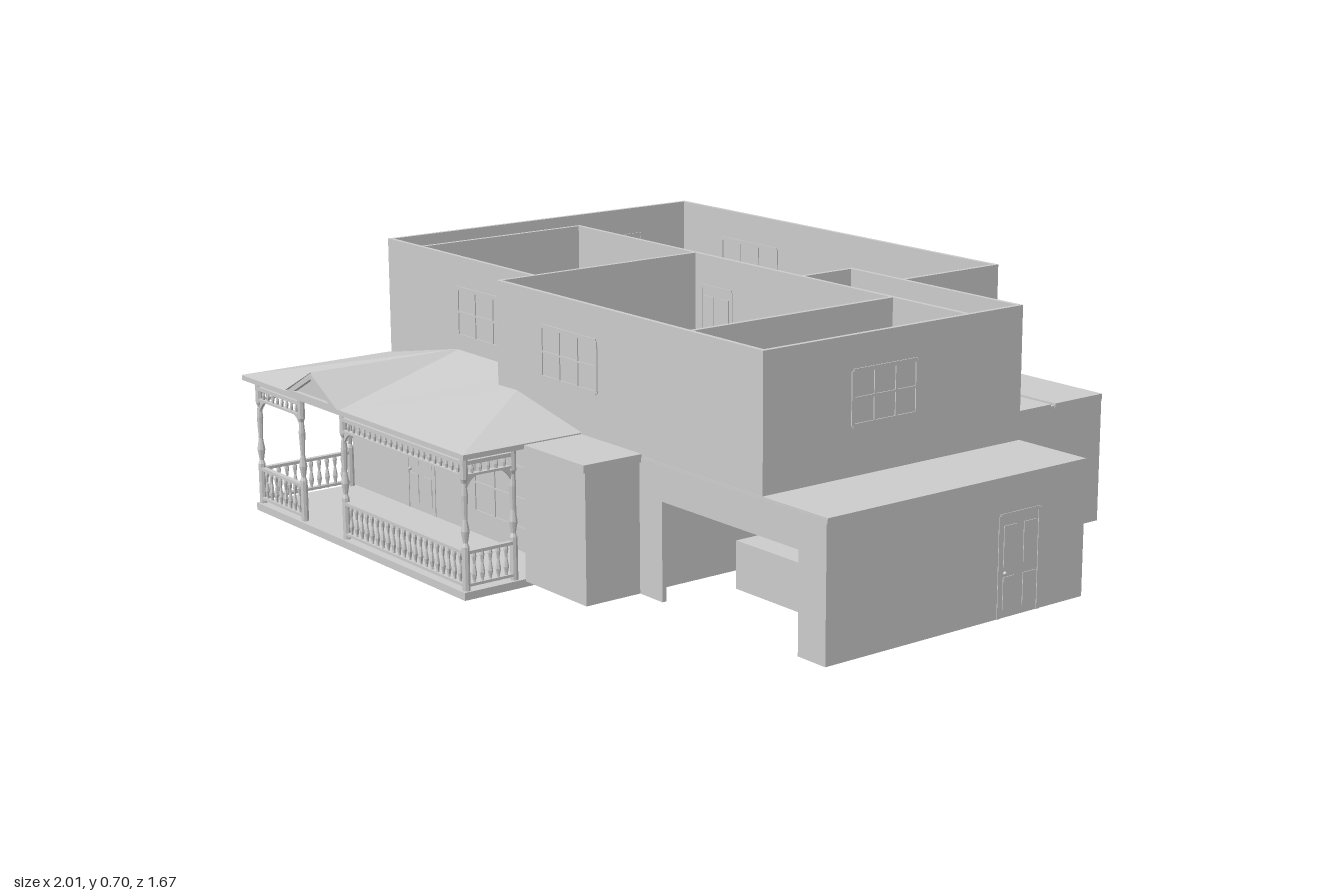
import * as THREE from 'three';

const mat = new THREE.MeshStandardMaterial({ color: 0xcccccc, flatShading: true, side: THREE.DoubleSide });
const T = 0.012; // wall thickness

function add(parent, name, geometry) {
  const m = new THREE.Mesh(geometry, mat);
  m.name = name;
  parent.add(m);
  return m;
}

// Box given by its two corners
function box(parent, name, x0, x1, y0, y1, z0, z1) {
  const m = add(parent, name, new THREE.BoxGeometry(x1 - x0, y1 - y0, z1 - z0));
  m.position.set((x0 + x1) / 2, (y0 + y1) / 2, (z0 + z1) / 2);
  return m;
}

// Walls along the x or z axis; each row is x0, z0, x1, z1 on the centre line
function walls(parent, name, y0, y1, rows) {
  for (const [x0, z0, x1, z1] of rows) {
    box(parent, name, Math.min(x0, x1) - T / 2, Math.max(x0, x1) + T / 2, y0, y1,
      Math.min(z0, z1) - T / 2, Math.max(z0, z1) + T / 2);
  }
}

// Group whose local x runs along a wall and whose origin is on the wall
function onWall(parent, name, x, y, z, turned) {
  const g = new THREE.Group();
  g.name = name;
  g.position.set(x, y, z);
  if (turned) g.rotation.y = Math.PI / 2;
  parent.add(g);
  return g;
}

// Framed window with panes, visible on both faces of the wall
function windowUnit(parent, x, y, z, w, h, turned = false) {
  const g = onWall(parent, 'window', x, y, z, turned), b = 0.005, d = 0.009;
  for (const s of [-1, 1]) {
    box(g, 'windowJamb', s * w / 2 - b, s * w / 2 + b, -h / 2, h / 2, -d, d);
    box(g, 'windowRail', -w / 2, w / 2, s * h / 2 - b, s * h / 2 + b, -d, d);
    box(g, 'windowMullion', s * w / 6 - b / 2, s * w / 6 + b / 2, -h / 2, h / 2, -d, d);
  }
  box(g, 'windowCrossbar', -w / 2, w / 2, -b / 2, b / 2, -d, d);
}

// Panelled door, y is its foot
function door(parent, x, y, z, turned = false, w = 0.13, h = 0.25) {
  const g = onWall(parent, 'door', x, y, z, turned), d = 0.008;
  for (const s of [-1, 1]) {
    box(g, 'doorJamb', s * w / 2 - 0.005, s * w / 2 + 0.005, 0, h, -d, d);
    box(g, 'doorPanel', s * w / 4 - 0.02, s * w / 4 + 0.02, 0.02, 0.1, -d, d);
    box(g, 'doorPanel', s * w / 4 - 0.02, s * w / 4 + 0.02, 0.125, 0.225, -d, d);
  }
  box(g, 'doorHead', -w / 2, w / 2, h - 0.005, h + 0.005, -d, d);
  add(g, 'doorKnob', new THREE.SphereGeometry(0.005, 8, 6)).position.set(-w / 2 + 0.015, 0.11, 0.01);
}

// Flat-shaded surface from polygons split into fans
function faces(parent, name, polys) {
  const p = [];
  for (const q of polys) for (let i = 1; i < q.length - 1; i++) p.push(...q[0], ...q[i], ...q[i + 1]);
  const g = new THREE.BufferGeometry();
  g.setAttribute('position', new THREE.Float32BufferAttribute(p, 3));
  g.computeVertexNormals();
  return add(parent, name, g);
}

// Turned spindle from radius/height pairs
const turned = (pts, n = 8) => new THREE.LatheGeometry(pts.map(([r, y]) => new THREE.Vector2(r, y)), n);
const spindle = turned([[0.004, 0], [0.004, 0.015], [0.007, 0.03], [0.003, 0.055], [0.006, 0.075], [0.004, 0.09]], 6);
const bead = turned([[0.003, 0], [0.005, 0.012], [0.003, 0.024]], 6);
const post = turned([[0.01, 0], [0.01, 0.11], [0.006, 0.12], [0.011, 0.15], [0.006, 0.18],
  [0.009, 0.24], [0.006, 0.27], [0.01, 0.28], [0.01, 0.34]]);

// Balustrade and upper frieze between two porch posts
function railing(parent, x0, z0, x1, z1) {
  const len = Math.hypot(x1 - x0, z1 - z0);
  const g = onWall(parent, 'railing', (x0 + x1) / 2, 0.02, (z0 + z1) / 2, x0 === x1);
  for (const [y0, y1] of [[0.01, 0.017], [0.092, 0.1], [0.286, 0.292], [0.315, 0.325]]) {
    box(g, 'handrail', -len / 2, len / 2, y0, y1, -0.007, 0.007);
  }
  const n = Math.round(len / 0.025);
  for (let i = 1; i < n; i++) {
    const x = -len / 2 + len * i / n;
    add(g, 'baluster', spindle).position.set(x, 0.008, 0);
    add(g, 'friezeSpindle', bead).position.set(x, 0.291, 0);
  }
  // Curved brackets where the frieze meets the posts
  for (const s of [-1, 1]) {
    const sh = new THREE.Shape().moveTo(0, 0).lineTo(0, -0.05).quadraticCurveTo(0.008, -0.008, 0.04, 0);
    const b = add(g, 'bracket', new THREE.ExtrudeGeometry(sh, { depth: 0.006, bevelEnabled: false }));
    b.position.set(s * len / 2, 0.286, -0.003);
    b.scale.x = -s;
  }
}

function floors(house) {
  // Storey slab with an opening over the stairs; shape y is -z
  const outline = [[-0.97, -0.66], [0.36, -0.66], [0.36, -0.33], [1, -0.33], [1, 0.485], [-0.28, 0.485], [-0.28, 0.38], [-0.97, 0.38]];
  const v = (a) => a.map(([x, z]) => new THREE.Vector2(x, -z));
  const slab = new THREE.Shape(v(outline));
  slab.holes.push(new THREE.Path(v([[-0.96, -0.12], [-0.815, -0.12], [-0.815, 0.14], [-0.96, 0.14]])));
  const m = add(house, 'upperFloor', new THREE.ExtrudeGeometry(slab, { depth: 0.012, bevelEnabled: false }));
  m.rotation.x = -Math.PI / 2;
  m.position.y = 0.352;
  box(house, 'extensionRoof', -0.28, 0.575, 0.352, 0.366, -0.84, -0.665);
  box(house, 'extensionRoof', 0.36, 0.575, 0.352, 0.366, -0.65, -0.33);
  box(house, 'entryRoof', 0.05, 0.325, 0.35, 0.37, 0.48, 0.655);
  for (let i = 0; i < 9; i++) { // stairs
    const z = 0.14 - i * 0.029, y = 0.02 + (i + 1) * 0.036;
    box(house, 'stairTread', -0.96, -0.815, y - 0.008, y, z - 0.032, z);
    box(house, 'stairRiser', -0.96, -0.815, y - 0.036, y, z - 0.004, z);
  }
  box(house, 'newelPost', -0.825, -0.81, 0.36, 0.5, -0.185, -0.17);
}

function porch(house) {
  const g = new THREE.Group();
  g.name = 'porch';
  house.add(g);
  box(g, 'porchFloor', -0.975, 0.05, 0, 0.02, 0.51, 0.815);
  for (const [x, z] of [[-0.965, 0.8], [-0.74, 0.8], [-0.525, 0.8], [0.035, 0.8], [-0.965, 0.525], [0.035, 0.66]]) {
    add(g, 'porchPost', post).position.set(x, 0.02, z);
  }
  railing(g, -0.965, 0.8, -0.74, 0.8);
  railing(g, -0.525, 0.8, 0.035, 0.8);
  railing(g, -0.965, 0.525, -0.965, 0.8);
  railing(g, 0.035, 0.66, 0.035, 0.8);
  // Eave boards
  box(g, 'frontEave', -1, 0.08, 0.36, 0.373, 0.79, 0.83);
  box(g, 'leftEave', -1, -0.955, 0.36, 0.373, 0.375, 0.83);
  box(g, 'rightEave', 0.03, 0.08, 0.36, 0.373, 0.485, 0.83);
  // Hipped roof with a small gable over the steps
  const e = 0.374, A = [-0.63, 0.447, 0.37], K = [-0.63, 0.447, 0.83];
  const L = [-0.77, e, 0.83], R = [-0.49, e, 0.83], C = [0.08, e, 0.83], P = [-0.2, 0.43, 0.48];
  faces(g, 'porchRoof', [
    [[-1, e, 0.37], [-1, e, 0.83], A],
    [[-1, e, 0.83], L, A],
    [L, K, A], [K, R, A],
    [R, C, P, [-0.28, 0.445, 0.37], A],
    [C, [0.08, e, 0.48], P],
    [P, [-0.28, 0.43, 0.48], [-0.28, 0.445, 0.37]],
  ]);
  // Gable face and its raking boards
  const tri = (w, h, y) => [[-0.63 - w, y], [-0.63 + w, y], [-0.63, y + h]].map(([a, b]) => new THREE.Vector2(a, b));
  const rake = new THREE.Shape(tri(0.13, 0.072, 0.373));
  rake.holes.push(new THREE.Path(tri(0.09, 0.048, 0.381)));
  add(g, 'gableTrim', new THREE.ExtrudeGeometry(rake, { depth: 0.012, bevelEnabled: false })).position.z = 0.82;
  faces(g, 'gableFace', [[[-0.76, e, 0.815], [-0.5, e, 0.815], [-0.63, 0.44, 0.815]]]);
}

function bayWindow(house) {
  const g = new THREE.Group();
  g.name = 'bayWindow';
  house.add(g);
  // Plan of the bay: half widths at the wall and at its face, and face depth
  const ring = (a, b, z, y) => [[-a, y, -0.655], [-b, y, z], [b, y, z], [a, y, -0.655]].map((p) => [p[0] + 0.01, p[1], p[2]]);
  const loft = (name, ...rings) => {
    const f = [rings[0], rings[rings.length - 1]];
    for (let k = 0; k + 1 < rings.length; k++) for (let i = 0; i < 3; i++) {
      f.push([rings[k][i], rings[k][i + 1], rings[k + 1][i + 1], rings[k + 1][i]]);
    }
    faces(g, name, f);
  };
  loft('bayBody', ring(0.15, 0.085, -0.745, 0.43), ring(0.15, 0.085, -0.745, 0.58));
  loft('baySill', ring(0.165, 0.095, -0.755, 0.42), ring(0.165, 0.095, -0.755, 0.436));
  loft('bayRoof', ring(0.19, 0.105, -0.768, 0.575), ring(0.19, 0.105, -0.768, 0.588), ring(0.11, 0.06, -0.722, 0.65));
  windowUnit(g, 0.01, 0.51, -0.741, 0.15, 0.12);
  for (const s of [-1, 1]) {
    const p = onWall(g, 'baySideWindow', 0.01 + s * 0.117, 0.51, -0.7, false);
    p.rotation.y = s * 0.945;
    for (const t of [-1, 1]) {
      box(p, 'bayJamb', t * 0.035 - 0.004, t * 0.035 + 0.004, -0.06, 0.06, -0.006, 0.006);
      box(p, 'bayRail', -0.035, 0.035, t * 0.06 - 0.004, t * 0.06 + 0.004, -0.006, 0.006);
    }
  }
}

export function createModel() {
  const house = new THREE.Group();
  house.name = 'house';
  // Ground storey, open underneath
  walls(house, 'groundWall', 0.02, 0.36, [
    [-0.965, -0.654, -0.965, 0.505], [-0.965, 0.505, 0.07, 0.505], [0.07, -0.32, 0.07, 0.64], [0.07, 0.64, 0.312, 0.64],
    [0.312, -0.32, 0.312, 0.64], [0.312, 0.48, 0.4, 0.48], [0.91, 0.48, 0.992, 0.48], [0.992, -0.325, 0.992, 0.48],
    [0.07, -0.325, 0.992, -0.325], [0.567, -0.834, 0.567, -0.325], [-0.275, -0.834, 0.567, -0.834],
    [-0.275, -0.834, -0.275, -0.654], [-0.965, -0.654, -0.275, -0.654],
  ]);
  walls(house, 'garageLintel', 0.27, 0.36, [[0.4, 0.48, 0.91, 0.48]]);
  box(house, 'garageChest', 0.53, 0.77, 0.06, 0.18, -0.2, 0.36);
  // Upper storey, open to the sky
  walls(house, 'upperWall', 0.36, 0.7, [
    [-0.965, -0.654, -0.965, 0.372], [-0.965, 0.372, -0.275, 0.372], [-0.275, -0.155, -0.275, 0.478],
    [-0.275, 0.478, 0.77, 0.478], [0.77, -0.325, 0.77, 0.478], [0.16, -0.325, 0.77, -0.325],
    [0.354, -0.654, 0.354, -0.325], [-0.965, -0.654, 0.354, -0.654],
    [-0.81, -0.155, 0.77, -0.155], [-0.81, -0.155, -0.81, 0.372], [0.505, -0.155, 0.505, 0.478], [0.16, -0.325, 0.16, -0.155],
  ]);
  floors(house);
  porch(house);
  bayWindow(house);
  // Windows
  windowUnit(house, 0.03, 0.55, 0.478, 0.23, 0.13);
  windowUnit(house, -0.5, 0.55, 0.372, 0.25, 0.13);
  windowUnit(house, -0.65, 0.55, -0.654, 0.25, 0.13);
  windowUnit(house, -0.52, 0.19, -0.654, 0.22, 0.13);
  windowUnit(house, 0.1, 0.19, -0.834, 0.24, 0.13);
  windowUnit(house, 0.77, 0.55, 0.115, 0.2, 0.13, true);
  windowUnit(house, -0.965, 0.56, -0.35, 0.28, 0.12, true);
  windowUnit(house, -0.22, 0.16, 0.505, 0.28, 0.16);
  // Doors
  door(house, -0.62, 0.02, 0.505);
  door(house, 0.992, 0.02, -0.115, true);
  door(house, -0.36, 0.365, -0.155);
  door(house, -0.18, 0.365, -0.155);
  door(house, 0.4, 0.365, -0.155);
  door(house, 0.505, 0.365, 0.38, true);
  return house;
}
